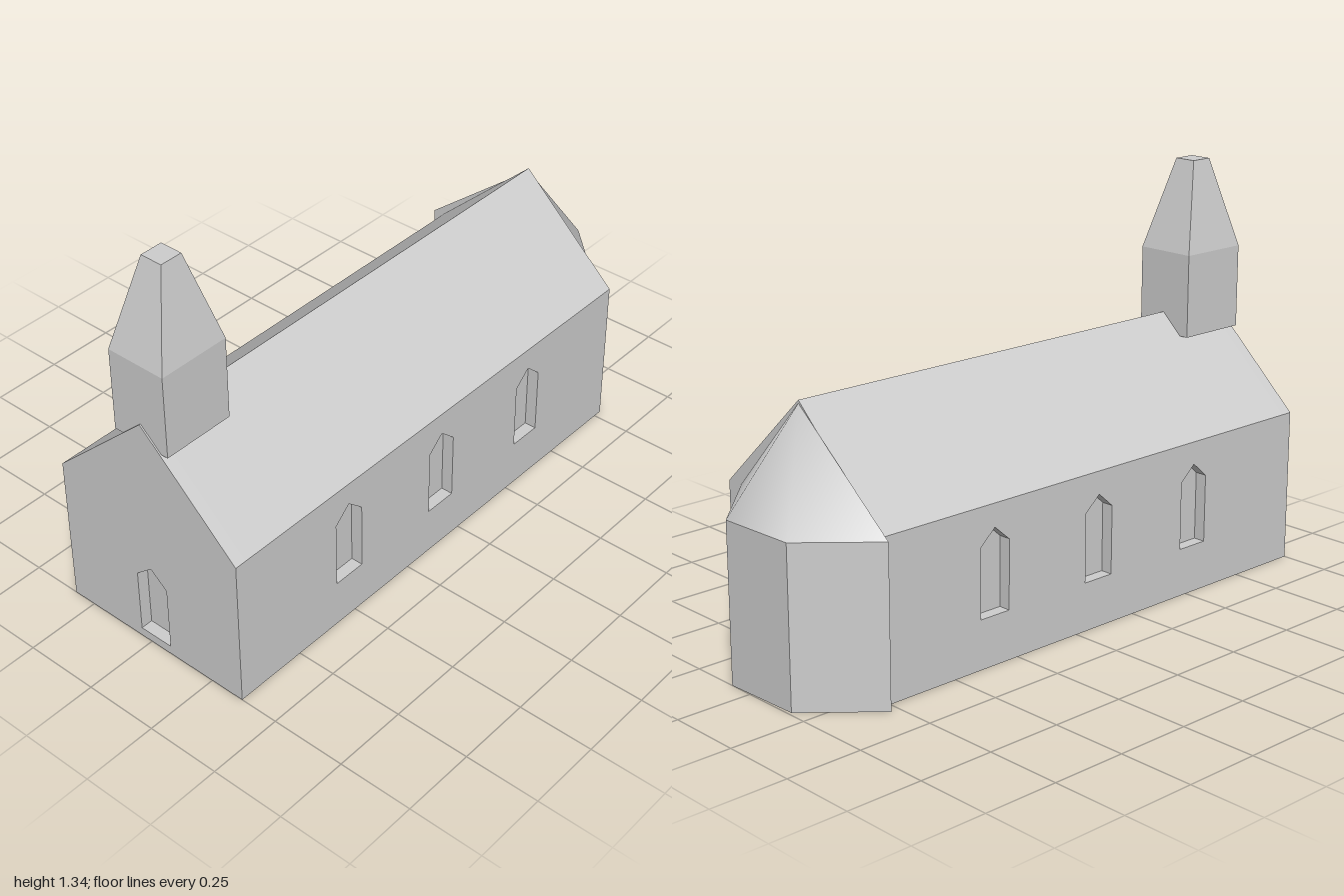
import * as THREE from 'three';

const EAVE = 0.51, RIDGE = 0.835, REVEAL = 0.04;
const BACK = -0.33, FRONT = 0.37, MID = 0.02;
const WEST = -1, EAST = 0.78;

const polygon = (points) => new THREE.Shape(points.map(([x, y]) => new THREE.Vector2(x, y)));

// Opening with a pointed head
function pointedOpening(centre, width, bottom, shoulder, peak) {
  const h = width / 2;
  return polygon([[centre - h, bottom], [centre + h, bottom], [centre + h, shoulder],
    [centre, peak], [centre - h, shoulder]]);
}

const extrude = (shape, depth) => new THREE.ExtrudeGeometry(shape, { depth, bevelEnabled: false });

export function createModel() {
  const model = new THREE.Group();
  const stone = new THREE.MeshStandardMaterial({ color: 0xcccccc });
  stone.name = 'pale grey stone';

  function add(name, geometry, x = 0, y = 0, z = 0) {
    const mesh = new THREE.Mesh(geometry, stone);
    mesh.name = name;
    mesh.position.set(x, y, z);
    model.add(mesh);
    return mesh;
  }

  // Nave core, whose faces form the backs of the recessed openings
  const inner = WEST + REVEAL, length = EAST - inner;
  add('naveCore', new THREE.BoxGeometry(length, EAVE, FRONT - BACK - 2 * REVEAL),
    (inner + EAST) / 2, EAVE / 2, MID);

  // Long walls with three pointed windows each
  const wall = polygon([[inner, 0], [EAST, 0], [EAST, EAVE], [inner, EAVE]]);
  for (const x of [-0.525, -0.093, 0.342]) {
    wall.holes.push(pointedOpening(x, 0.114, 0.16, 0.385, 0.435));
  }
  add('frontWall', extrude(wall, REVEAL), 0, 0, FRONT - REVEAL);
  add('backWall', extrude(wall, REVEAL), 0, 0, BACK);

  // Gable wall with a pointed doorway
  const gable = polygon([[BACK, 0], [FRONT, 0], [FRONT, EAVE], [MID, RIDGE], [BACK, EAVE]]);
  gable.holes.push(pointedOpening(MID, 0.12, 0.03, 0.25, 0.3));
  add('gableWall', extrude(gable, REVEAL).rotateY(-Math.PI / 2), inner);

  // Pitched roof
  const pitch = polygon([[BACK, EAVE], [FRONT, EAVE], [MID, RIDGE]]);
  add('naveRoof', extrude(pitch, length).rotateY(-Math.PI / 2), EAST);

  // Apse walls: plan corners as x, z
  const plan = [[EAST, 0.31], [1, 0.085], [0.99, -0.182], [EAST, -0.37]];
  add('apseWalls', extrude(polygon(plan.map(([x, z]) => [x, -z])), EAVE).rotateX(-Math.PI / 2));

  // Apse roof: a softly shaded fan, closed by a flat triangle behind
  const apex = [EAST, 0.825, MID];
  const corners = plan.map(([x, z]) => [x, EAVE, z]);
  function fan(points, index) {
    const g = new THREE.BufferGeometry();
    g.setAttribute('position', new THREE.Float32BufferAttribute(points.flat(), 3));
    g.setIndex(index);
    g.computeVertexNormals();
    return g;
  }
  add('apseRoof', fan([apex, ...corners], [0, 1, 2, 0, 2, 3, 0, 3, 4]));
  add('apseRoofBack', fan([apex, corners[3], corners[0]], [0, 1, 2]));

  // Bell turret and its tapered, blunt spire
  const tx = -0.872, tz = 0.017, w = 0.246, d = 0.207;
  add('turret', new THREE.BoxGeometry(w, 0.275, d), tx, 0.9025, tz);
  const spire = new THREE.BoxGeometry(w, 0.295, d);
  const p = spire.attributes.position;
  for (let i = 0; i < p.count; i++) {
    if (p.getY(i) > 0) {
      p.setX(i, Math.sign(p.getX(i)) * 0.038);
      p.setZ(i, Math.sign(p.getZ(i)) * 0.038);
    }
  }
  spire.computeVertexNormals();
  add('spire', spire, tx, 1.1875, tz);

  return model;
}
